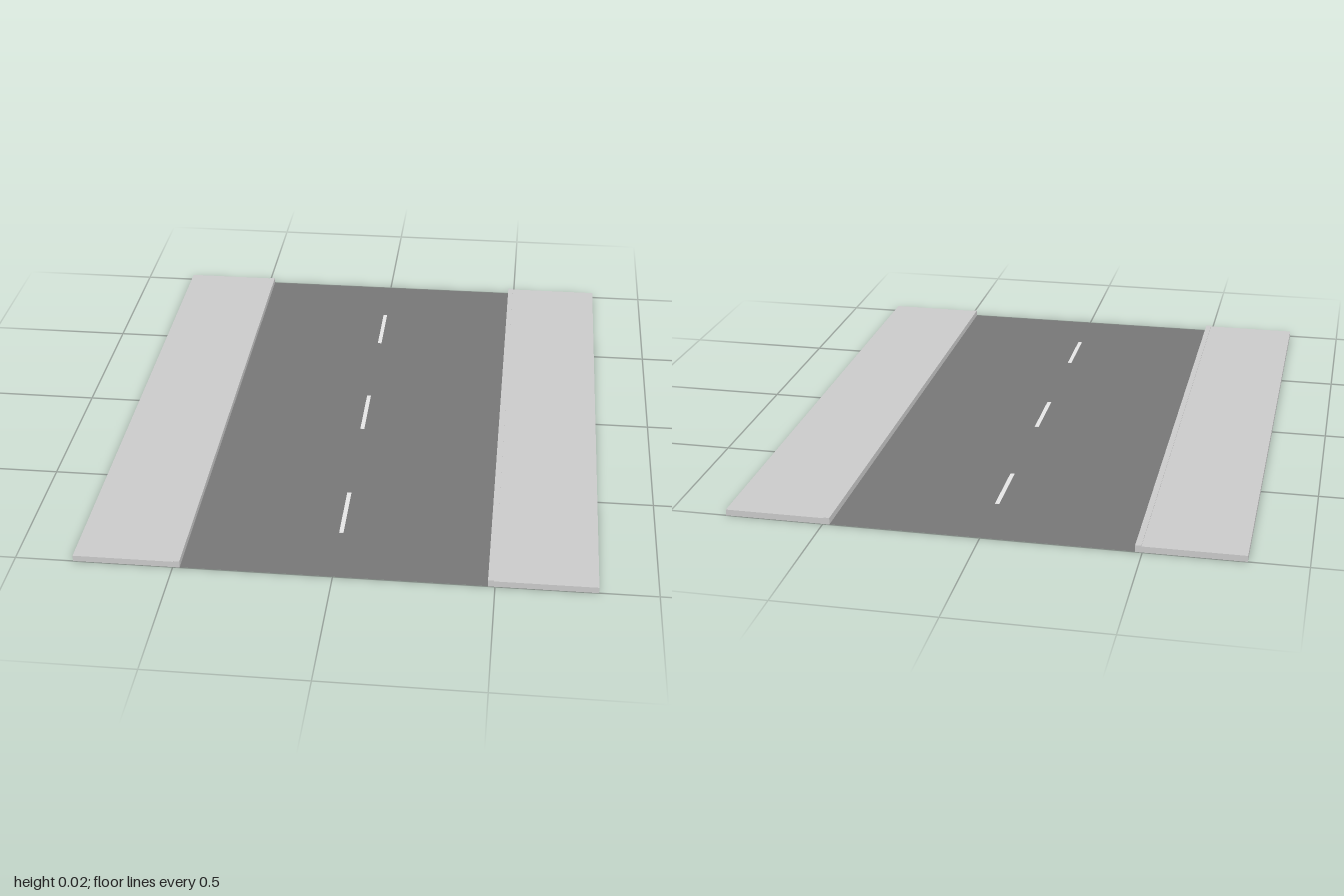
import * as THREE from 'three';

const concrete = new THREE.MeshStandardMaterial({ color: 0xcacaca });
concrete.name = 'concrete grey';
const asphalt = new THREE.MeshStandardMaterial({ color: 0x767676, side: THREE.DoubleSide });
asphalt.name = 'asphalt grey';
const paint = new THREE.MeshStandardMaterial({ color: 0xe4e4e4 });
paint.name = 'marking white';

const LENGTH = 2;

// Box spanning x0..x1 and y0..y1, centred on z
function slab(name, x0, x1, y0, y1, length, material) {
  const mesh = new THREE.Mesh(new THREE.BoxGeometry(x1 - x0, y1 - y0, length), material);
  mesh.name = name;
  mesh.position.set((x0 + x1) / 2, (y0 + y1) / 2, 0);
  return mesh;
}

export function createModel() {
  const street = new THREE.Group();
  street.name = 'streetSegment';

  // Flat carriageway
  const road = new THREE.Mesh(new THREE.PlaneGeometry(0.96, LENGTH).rotateX(-Math.PI / 2), asphalt);
  road.name = 'road';
  road.position.y = 0.001;
  street.add(road);

  // Pavement and slightly raised kerb on both sides
  for (const [side, s] of [['left', 1], ['right', -1]]) {
    const span = (a, b) => (s > 0 ? [a, b] : [-b, -a]);
    street.add(slab(side + 'Pavement', ...span(0.497, 0.816), 0, 0.02, LENGTH, concrete));
    street.add(slab(side + 'Kerb', ...span(0.478, 0.497), 0, 0.0225, LENGTH, concrete));
  }

  // Dashed centre line
  for (const z of [-0.64, 0, 0.645]) {
    const dash = slab('centreDash', -0.007, 0.007, 0.001, 0.002, 0.235, paint);
    dash.position.z = z;
    street.add(dash);
  }

  return street;
}
